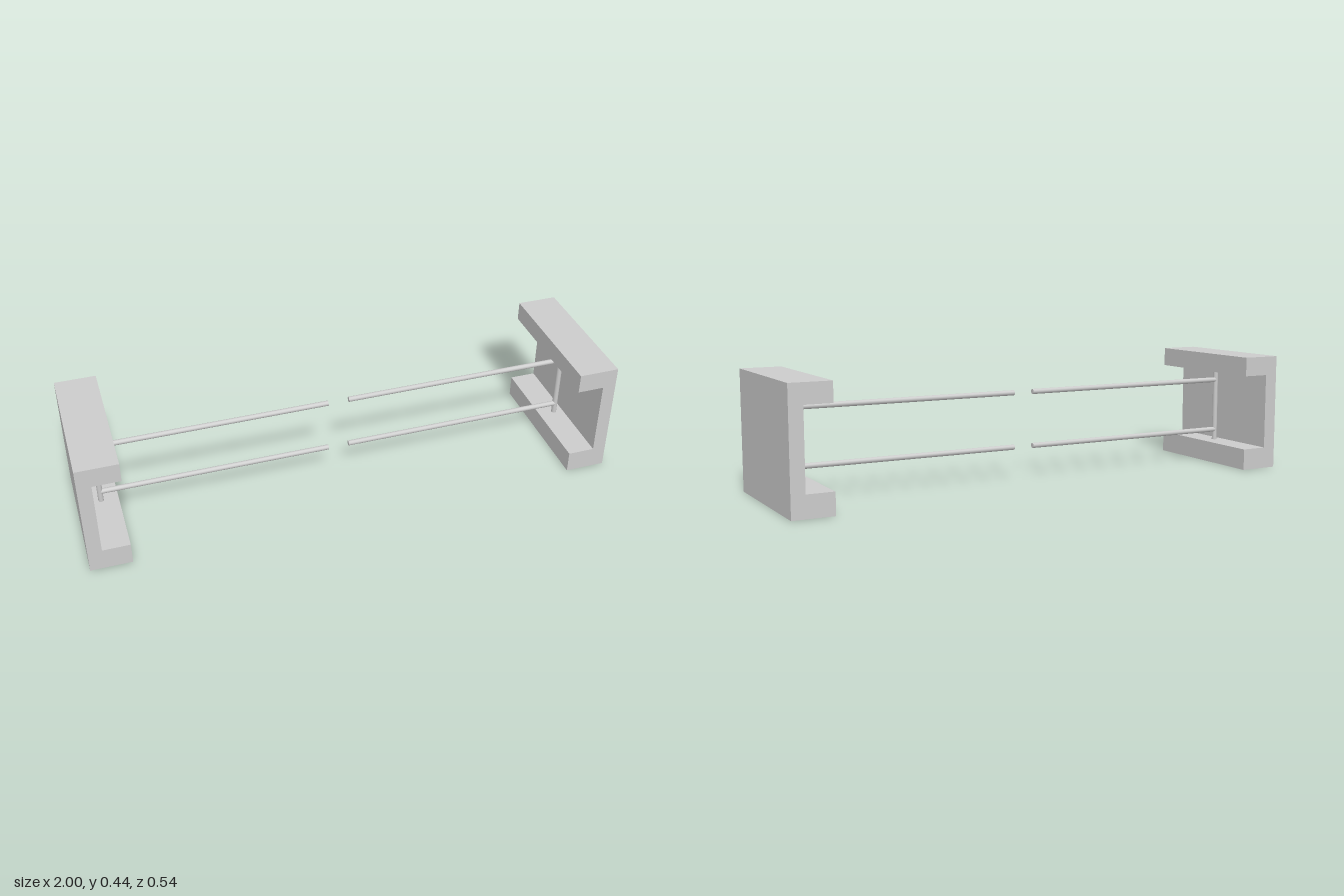
import * as THREE from 'three';

const material = new THREE.MeshStandardMaterial({ color: 0xcccccc });

function addMesh(parent, name, geometry, x, y, z) {
  const mesh = new THREE.Mesh(geometry, material);
  mesh.name = name;
  mesh.position.set(x, y, z);
  parent.add(mesh);
  return mesh;
}

// C-shaped channel: outer wall with two flanges pointing towards the middle
function channelGeometry(side) {
  const depth = 0.54;
  const profile = [
    [1, 0], [1, 0.445], [0.848, 0.445], [0.848, 0.372],
    [0.949, 0.372], [0.949, 0.082], [0.848, 0.082], [0.848, 0],
  ];
  const shape = new THREE.Shape(profile.map(([x, y]) => new THREE.Vector2(side * x, y)));
  return new THREE.ExtrudeGeometry(shape, { depth, bevelEnabled: false }).translate(0, 0, -depth / 2);
}

export function createModel() {
  const model = new THREE.Group();
  model.name = 'channelsWithRods';
  const radius = 0.01;
  const postX = 0.912;
  const rodEnd = 0.04;

  for (const [label, side] of [['left', 1], ['right', -1]]) {
    const half = new THREE.Group();
    half.name = label + 'Half';
    model.add(half);

    addMesh(half, label + 'Channel', channelGeometry(side), 0, 0, 0);

    // Upright post between the flanges
    addMesh(half, label + 'Post', new THREE.CylinderGeometry(radius, radius, 0.29, 12), side * postX, 0.227, 0);

    // Two rods reaching from the post towards the centre gap
    const length = postX - rodEnd;
    for (const [level, y] of [['Lower', 0.124], ['Upper', 0.331]]) {
      const rod = new THREE.CylinderGeometry(radius, radius, length, 12).rotateZ(Math.PI / 2);
      addMesh(half, label + level + 'Rod', rod, side * (rodEnd + length / 2), y, 0);
    }
  }
  return model;
}
